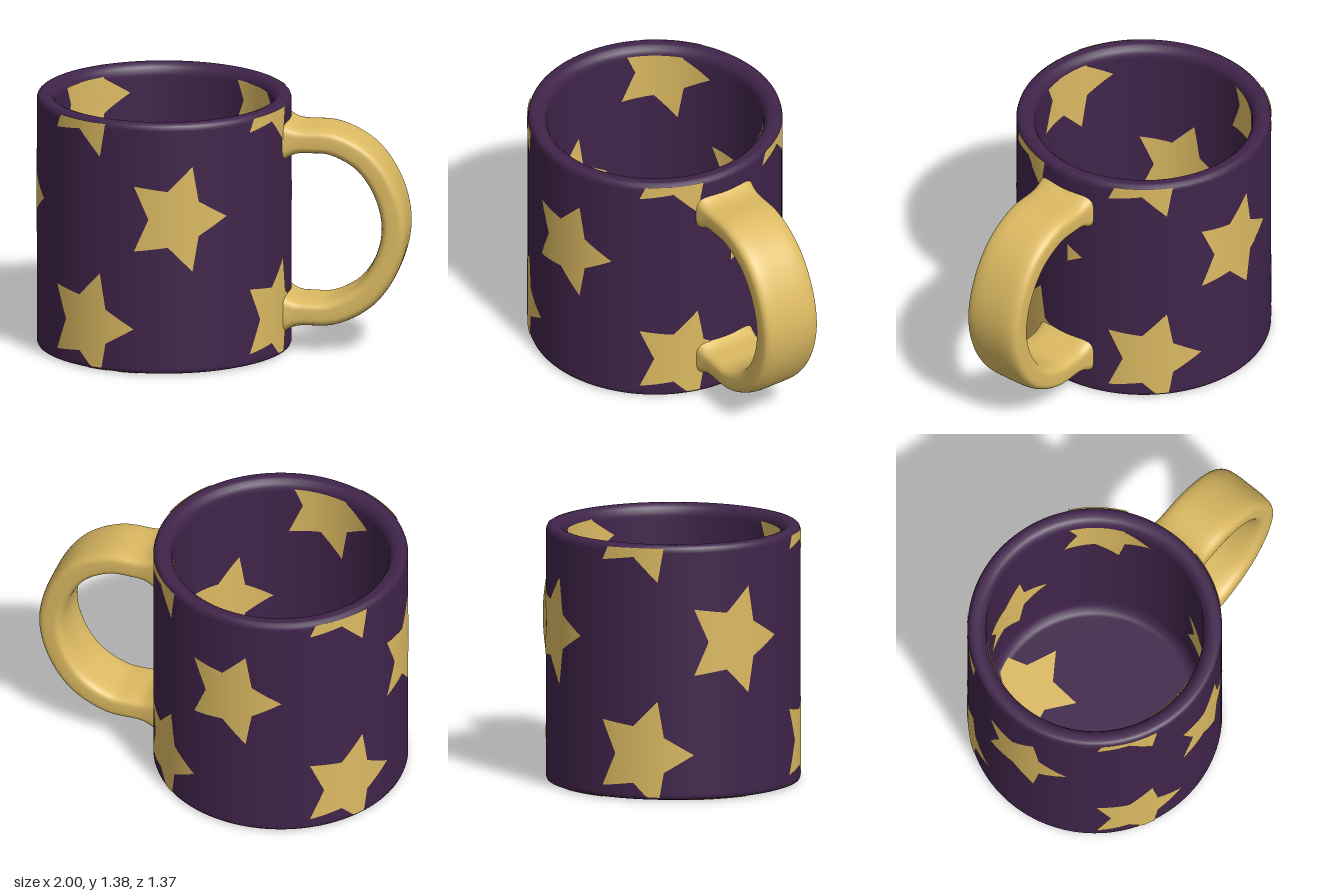
import * as THREE from 'three';

const CX = -0.32, R = 0.68, INNER = 0.58, FLOOR = 0.1;
const RAD = Math.PI / 180;

// Fine fan-shaped star, centred on 0,0, pointing along +u; map(u, v) lays it on a surface
function starGeometry(ru, rv, map) {
  const pos = [], idx = [], steps = 10, rings = 14, n = 10 * steps;
  const corner = k => {
    const a = k * Math.PI / 5, r = k % 2 ? 0.53 : 1;
    return [r * Math.cos(a), r * Math.sin(a)];
  };
  for (let i = 0; i <= rings; i++) {
    for (let j = 0; j < n; j++) {
      const k = Math.floor(j / steps), f = (j % steps) / steps;
      const [ax, ay] = corner(k), [bx, by] = corner(k + 1), s = i / rings;
      pos.push(...map(ru * s * (ax + (bx - ax) * f), rv * s * (ay + (by - ay) * f)));
      if (i === rings) continue;
      const a = i * n + j, b = i * n + (j + 1) % n;
      idx.push(a, a + n, b, b, a + n, b + n);
    }
  }
  const g = new THREE.BufferGeometry();
  g.setAttribute('position', new THREE.Float32BufferAttribute(pos, 3));
  g.setIndex(idx);
  g.computeVertexNormals();
  return g;
}

// Curved handle with a rounded-rectangle section that flares at both ends
function handleGeometry() {
  const half = [[0.31, 1.165], [0.45, 1.165], [0.6, 1.157], [0.77, 1.065], [0.885, 0.895]];
  const pts = [...half, [0.93, 0.69], ...half.map(([x, y]) => [x, 1.38 - y]).reverse()];
  const curve = new THREE.CatmullRomCurve3(pts.map(([x, y]) => new THREE.Vector3(x, y, 0)));
  const pos = [], idx = [], rows = 100, n = 48;
  const power = v => Math.sign(v) * Math.abs(v) ** 0.5;
  for (let i = 0; i <= rows; i++) {
    const t = i / rows, p = curve.getPointAt(t), d = curve.getTangentAt(t);
    const flare = Math.exp(-((Math.min(t, 1 - t) / 0.035) ** 2));
    const thick = 0.071 * (1 + 0.7 * flare), wide = 0.17 * (1 + 0.08 * flare);
    for (let j = 0; j < n; j++) {
      const a = j / n * Math.PI * 2, o = thick * power(Math.cos(a));
      pos.push(p.x - d.y * o, p.y + d.x * o, wide * power(Math.sin(a)));
      if (i === rows) continue;
      const b = i * n + j, c = i * n + (j + 1) % n;
      idx.push(b, c, b + n, c, c + n, b + n);
    }
  }
  const g = new THREE.BufferGeometry();
  g.setAttribute('position', new THREE.Float32BufferAttribute(pos, 3));
  g.setIndex(idx);
  g.computeVertexNormals();
  return g;
}

export function createModel() {
  const model = new THREE.Group();
  model.name = 'mug';
  const purple = new THREE.MeshStandardMaterial({ color: 0x40244a });
  purple.name = 'deep purple';
  const gold = new THREE.MeshStandardMaterial({ color: 0xdcba62, side: THREE.DoubleSide });
  gold.name = 'gold';
  const add = (name, geometry, material) => {
    const m = new THREE.Mesh(geometry, material);
    m.name = name;
    model.add(m);
    return m;
  };

  // Hollow cup: underside, outer wall, rounded rim, inner wall, floor
  const profile = [
    [0, 0], [0.65, 0], [0.66, 0], [0.675, 0.005], [R, 0.018], [R, 0.028],
    [R, 1.34], [R, 1.35], [0.675, 1.367], [0.664, 1.377], [0.65, 1.38],
    [0.625, 1.38], [0.608, 1.375], [0.592, 1.36], [0.582, 1.34], [INNER, 1.32], [INNER, 1.31],
    [INNER, 0.18], [INNER, 0.17], [0.575, 0.14], [0.56, 0.115], [0.54, FLOOR + 0.002], [0.52, FLOOR], [0, FLOOR],
  ].map(([x, y]) => new THREE.Vector2(x, y));
  add('cup', new THREE.LatheGeometry(profile, 128), purple).position.x = CX;

  add('handle', handleGeometry(), gold);

  const clamp = THREE.MathUtils.clamp;
  // Star wrapped on a wall; dir -1 mirrors it for the inside
  const wallStar = (name, deg, y, radius, dir, size, yMin, yMax) =>
    add(name, starGeometry(size, 0.305, (u, v) => {
      let a = deg + dir * u;
      if (dir > 0) a = clamp(a, 92, 452);
      const h = clamp(y + v, yMin, yMax);
      return [CX + radius * Math.sin(a * RAD), h, radius * Math.cos(a * RAD)];
    }), gold);

  // Outer stars: lower and upper rows in line, middle row staggered
  for (let k = 0; k < 4; k++) {
    const even = 131.8 + 98.7 * k;
    wallStar('lowerStar', even, 0.245, R + 0.003, 1, 23.7, 0.015, 1.37);
    wallStar('upperStar', even, 1.47, R + 0.003, 1, 23.7, 0.015, 1.365);
    wallStar('middleStar', 76.1 + 98.7 * k, 0.855, R + 0.003, 1, 23.7, 0.015, 1.37);
  }

  // Inner wall stars
  for (const deg of [125, 232, 352]) {
    wallStar('innerStar', deg, 1.23, INNER - 0.004, -1, 27, 0.18, 1.335);
    wallStar('innerLowerStar', deg + 57, 0.62, INNER - 0.004, -1, 27, 0.18, 1.335);
  }

  // Flat star at x, z relative to the cup axis, trimmed to a disc of the given radius
  const flatStar = (name, x, z, y, limit, size, [ux, uz], [vx, vz]) =>
    add(name, starGeometry(size, size, (u, v) => {
      const px = x + u * ux + v * vx, pz = z + u * uz + v * vz;
      const s = Math.min(1, limit / Math.hypot(px, pz));
      return [CX + px * s, y, pz * s];
    }), gold);

  // Floor stars
  for (const [x, z] of [[-0.15, -0.34], [-0.04, 0.5]])
    flatStar('floorStar', x, z, FLOOR + 0.005, 0.55, 0.27, [0.99, -0.1], [-0.1, -0.99]);

  // Underside stars
  for (const [x, z] of [[0.42, -0.12], [-0.18, -0.57], [-0.18, 0.47], [-0.62, -0.01]])
    flatStar('undersideStar', x, z, -0.003, 0.66, 0.26, [-0.866, -0.5], [0.5, -0.866]);

  return model;
}
